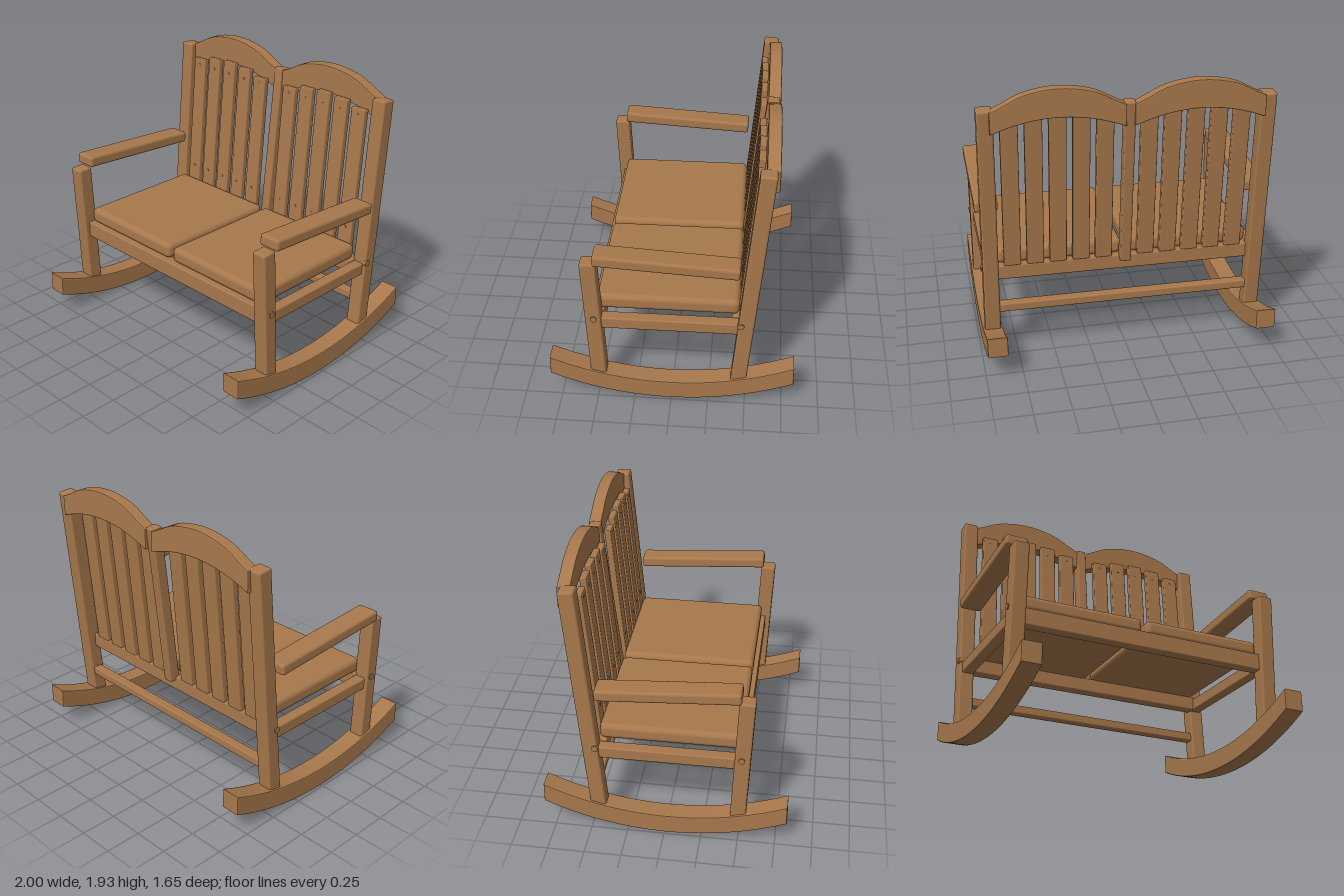
import * as THREE from 'three';
import { RoundedBoxGeometry } from 'three/addons/geometries/RoundedBoxGeometry.js';

const wood = new THREE.MeshStandardMaterial({ color: 0xa8784c });

export function createModel() {
  const group = new THREE.Group();
  group.name = 'doubleRockingBench';

  const add = (name, geometry, x = 0, y = 0, z = 0) => {
    const mesh = new THREE.Mesh(geometry, wood);
    mesh.name = name;
    mesh.position.set(x, y, z);
    group.add(mesh);
    return mesh;
  };

  // Rounded block given by its limits on each axis
  const block = (name, [x0, x1], [y0, y1], [z0, z1], r = 0.01) =>
    add(name, new RoundedBoxGeometry(x1 - x0, y1 - y0, z1 - z0, 3, r),
      (x0 + x1) / 2, (y0 + y1) / 2, (z0 + z1) / 2);

  // Leaning timber running between two [y, z] points
  const beam = (name, x, width, depth, [y0, z0], [y1, z1], r = 0.01) => {
    const length = Math.hypot(y1 - y0, z1 - z0);
    const mesh = add(name, new RoundedBoxGeometry(width, length, depth, 3, r),
      x, (y0 + y1) / 2, (z0 + z1) / 2);
    mesh.rotation.x = Math.atan2(z1 - z0, y1 - y0);
    return mesh;
  };

  // Small round dowel head
  const pin = (name, x, y, z, radius, length, axis) => {
    const geometry = new THREE.CylinderGeometry(radius, radius, length, 16);
    if (axis === 'x') geometry.rotateZ(Math.PI / 2);
    else geometry.rotateX(Math.PI / 2);
    return add(name, geometry, x, y, z);
  };

  // Centre line of the reclining back posts
  const postZ = (y) => -0.455 - (y - 0.2) * 0.084;

  // Rocker profile: an arc with vertically cut ends
  const rockerShape = new THREE.Shape();
  const R = 2.03, N = 32, b = 0.008;
  const arc = (z) => R - Math.sqrt(R * R - (z - 0.015) ** 2);
  const zAt = (i) => -0.817 + (1.634 * i) / N;
  for (let i = 0; i <= N; i++) {
    const z = zAt(i);
    if (i === 0) rockerShape.moveTo(z, arc(z) + b);
    else rockerShape.lineTo(z, arc(z) + b);
  }
  for (let i = N; i >= 0; i--) rockerShape.lineTo(zAt(i), arc(zAt(i)) + 0.14 - b);
  rockerShape.closePath();
  const rockerGeometry = new THREE.ExtrudeGeometry(rockerShape, {
    depth: 0.135 - 2 * b, bevelEnabled: true, bevelSize: b, bevelThickness: b, bevelSegments: 2,
  });
  rockerGeometry.translate(0, 0, -(0.135 - 2 * b) / 2);
  rockerGeometry.rotateY(-Math.PI / 2);

  // Arched top rail, drawn around its own middle
  const topCurve = new THREE.SplineCurve([[-0.425, 1.797], [-0.36, 1.827], [-0.21, 1.897],
    [0, 1.927], [0.21, 1.897], [0.36, 1.827], [0.425, 1.797]].map((p) => new THREE.Vector2(...p)));
  const underY = (x) => 1.745 - 0.085 * (x / 0.425) ** 2;
  const railShape = new THREE.Shape();
  topCurve.getPoints(32).forEach((p, i) => (i ? railShape.lineTo(p.x, p.y) : railShape.moveTo(p.x, p.y)));
  for (let i = 0; i <= 24; i++) {
    const x = 0.425 - (0.85 * i) / 24;
    railShape.lineTo(x, underY(x) + b);
  }
  railShape.closePath();
  const railGeometry = new THREE.ExtrudeGeometry(railShape, {
    depth: 0.085 - 2 * b, bevelEnabled: true, bevelSize: b, bevelThickness: b, bevelSegments: 2,
  });
  railGeometry.translate(0, 0, -0.66 + b);

  for (const [side, s] of [['left', 1], ['right', -1]]) {
    // Side frame: rocker, legs, armrest and seat rail
    add(`${side}Rocker`, rockerGeometry, s * 0.918);
    beam(`${side}FrontLeg`, s * 0.918, 0.105, 0.105, [0.13, 0.493], [1.1, 0.535], 0.014);
    beam(`${side}BackPost`, s * 0.918, 0.105, 0.105, [0.13, postZ(0.13)], [1.812, postZ(1.812)], 0.014);
    beam(`${side}Armrest`, s * 0.921, 0.156, 0.08, [1.088, -0.443], [1.145, 0.499], 0.02);
    block(`${side}SeatRail`, [s * 0.91 - 0.04, s * 0.91 + 0.04], [0.565, 0.65], [-0.46, 0.48]);
    pin(`${side}FrontDowel`, s * 0.96, 0.655, 0.51, 0.022, 0.036, 'x');
    pin(`${side}BackDowel`, s * 0.96, 0.655, -0.458, 0.022, 0.036, 'x');

    // Seat panel with soft edges
    block(`${side}SeatPanel`, [s * 0.443 - 0.428, s * 0.443 + 0.428], [0.662, 0.775], [-0.445, 0.5], 0.038);

    // Arched rail with five slats below it
    add(`${side}TopRail`, railGeometry, s * 0.46);
    for (let i = 0; i < 5; i++) {
      const x = s * (0.145 + i * 0.155);
      const top = underY(Math.abs(x) - 0.46) + 0.02;
      const slatZ = (y) => postZ(y) + 0.035;
      beam(`${side}Slat${i + 1}`, x, 0.115, 0.045, [0.665, slatZ(0.665)], [top, slatZ(top)], 0.008);
      for (const y of [0.87, 1.68])
        pin(`${side}SlatPin`, x, y, slatZ(y) + 0.017, 0.011, 0.016, 'z');
    }
  }

  // Members joining the two sides
  beam('centrePost', 0, 0.072, 0.08, [0.64, postZ(0.64) + 0.01], [1.815, postZ(1.815) - 0.02]);
  block('frontApron', [-0.88, 0.88], [0.55, 0.668], [0.45, 0.53]);
  block('backSeatRail', [-0.88, 0.88], [0.565, 0.668], [-0.48, -0.395]);
  block('lowerStretcher', [-0.88, 0.88], [0.33, 0.39], [-0.505, -0.435]);

  return group;
}
